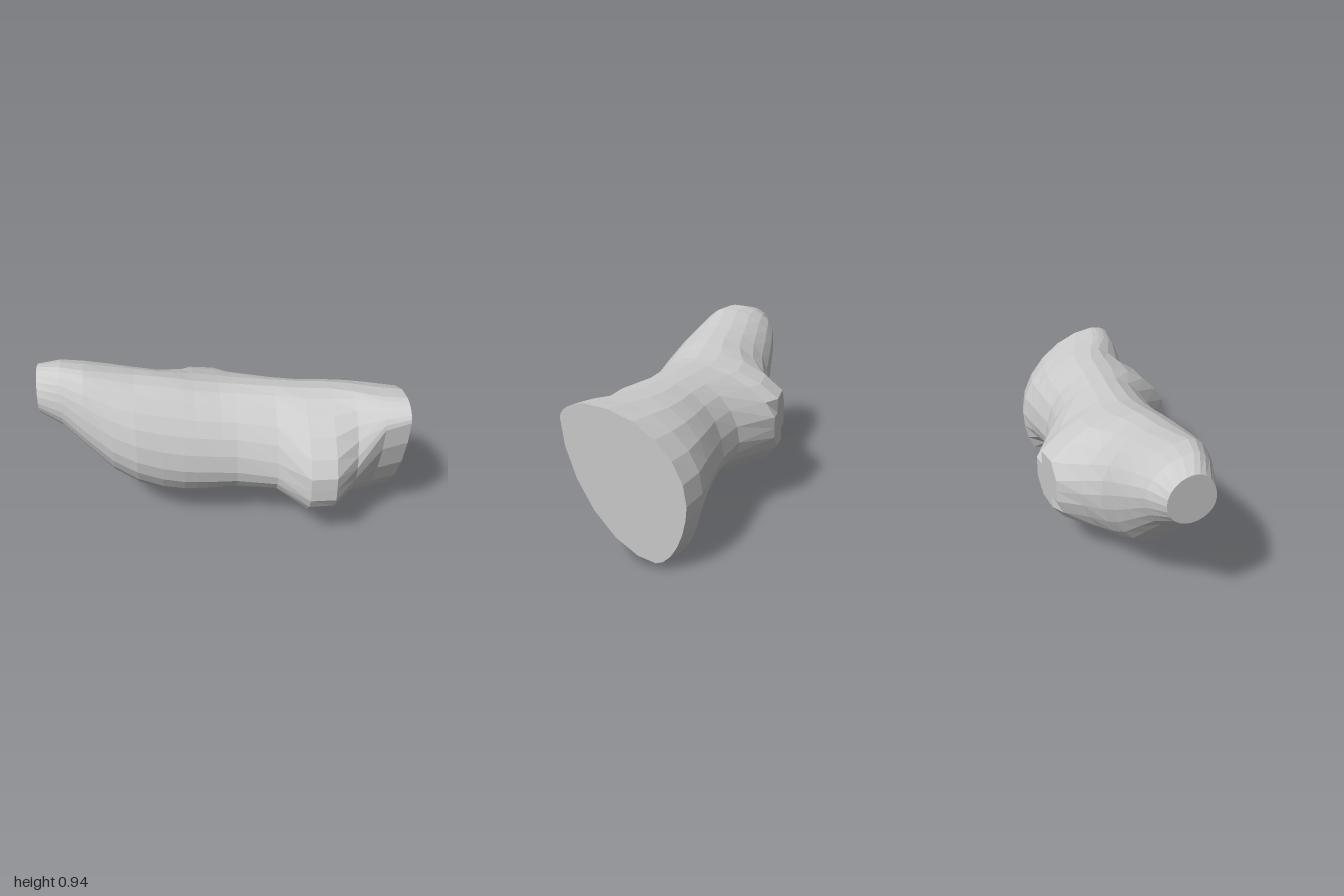
import * as THREE from 'three';

// Each section: x, top (y, z), bottom (y, z), front (y, z), back (y, z)
const SECTIONS = [
  [-1.0, .905, -.12, .64, -.12, .75, .01, .77, -.26],
  [-.87, .94, -.05, .55, -.13, .73, .075, .75, -.305],
  [-.74, .937, -.01, .42, -.13, .64, .15, .69, -.33],
  [-.6, .91, -.02, .28, -.12, .55, .22, .62, -.345],
  [-.47, .885, -.03, .2, -.11, .5, .265, .55, -.355],
  [-.33, .865, -.03, .14, -.12, .46, .28, .49, -.41],
  [-.21, .845, -.03, .123, -.14, .44, .29, .46, -.53],
  [-.14, .83, -.03, .125, -.14, .435, .292, .46, -.6],
  [0, .81, -.03, .14, -.13, .425, .294, .46, -.6],
  [.08, .805, -.02, .155, -.12, .42, .295, .46, -.53],
  [.3, .803, .02, .2, .01, .41, .345, .44, -.35],
  [.46, .803, .05, .165, .2, .42, .51, .41, -.302],
  [.6, .805, .07, .162, .15, .42, .51, .4, -.3],
  [.73, .81, .12, .14, .03, .48, .385, .39, -.3],
  [.87, .82, .2, .005, -.1, .7, .355, .38, -.3],
  [1.0, .83, .24, .042, -.1, .75, .368, .36, -.256],
];
const SIDES = 24;
const { smoothstep, clamp } = THREE.MathUtils;

// 1 near the middle of a stub, fading to 0 along the body
const near = (x, centre, reach) => 1 - smoothstep(Math.abs(x - centre), 0.12, reach);

// A closed ring made of four quarter curves through the extremes
function ring([x, topY, topZ, botY, botZ, frontY, frontZ, backY, backZ]) {
  // quarters straighten around the stubs and at the right-hand end
  const backPower = 1 + 0.25 * near(x, -0.07, 0.45) + 0.08 * smoothstep(x, 0.73, 1);
  const upperFrontPower = 1 + 0.2 * near(x, 0.53, 0.35);
  const lowerFrontPower = 1 + 0.2 * smoothstep(x, 0.65, 0.87);
  return Array.from({ length: SIDES }, (_, j) => {
    const a = (j / SIDES) * Math.PI * 2;
    const c = Math.cos(a), s = Math.sin(a);
    const [sideY, sideZ] = c > 0 ? [frontY, frontZ] : [backY, backZ];
    const [endY, endZ] = s > 0 ? [topY, topZ] : [botY, botZ];
    const power = c < 0 ? backPower : s > 0 ? upperFrontPower : lowerFrontPower;
    const y = sideY + (endY - sideY) * Math.pow(Math.abs(s), power);
    const z = endZ + (sideZ - endZ) * Math.pow(Math.abs(c), power);
    // side stubs are cut off flat
    return new THREE.Vector3(x, y, clamp(z, -0.5, 0.495));
  });
}

function loft(rings) {
  const pos = [];
  const tri = (...v) => v.forEach((p) => pos.push(p.x, p.y, p.z));
  for (let i = 0; i < rings.length - 1; i++) {
    for (let j = 0; j < SIDES; j++) {
      const k = (j + 1) % SIDES;
      const a = rings[i][j], b = rings[i][k], c = rings[i + 1][j], d = rings[i + 1][k];
      tri(a, c, b);
      tri(b, c, d);
    }
  }
  // flat end caps
  [rings[0], rings[rings.length - 1]].forEach((r, end) => {
    const mid = r.reduce((m, p) => m.add(p), new THREE.Vector3()).divideScalar(SIDES);
    for (let j = 0; j < SIDES; j++) {
      const k = (j + 1) % SIDES;
      if (end) tri(mid, r[k], r[j]);
      else tri(mid, r[j], r[k]);
    }
  });
  const geo = new THREE.BufferGeometry();
  geo.setAttribute('position', new THREE.Float32BufferAttribute(pos, 3));
  geo.computeVertexNormals();
  return geo;
}

export function createModel() {
  const group = new THREE.Group();
  group.name = 'log';
  const material = new THREE.MeshStandardMaterial({ color: 0xcccccc, flatShading: true });
  const body = new THREE.Mesh(loft(SECTIONS.map(ring)), material);
  body.name = 'body';
  group.add(body);
  return group;
}
